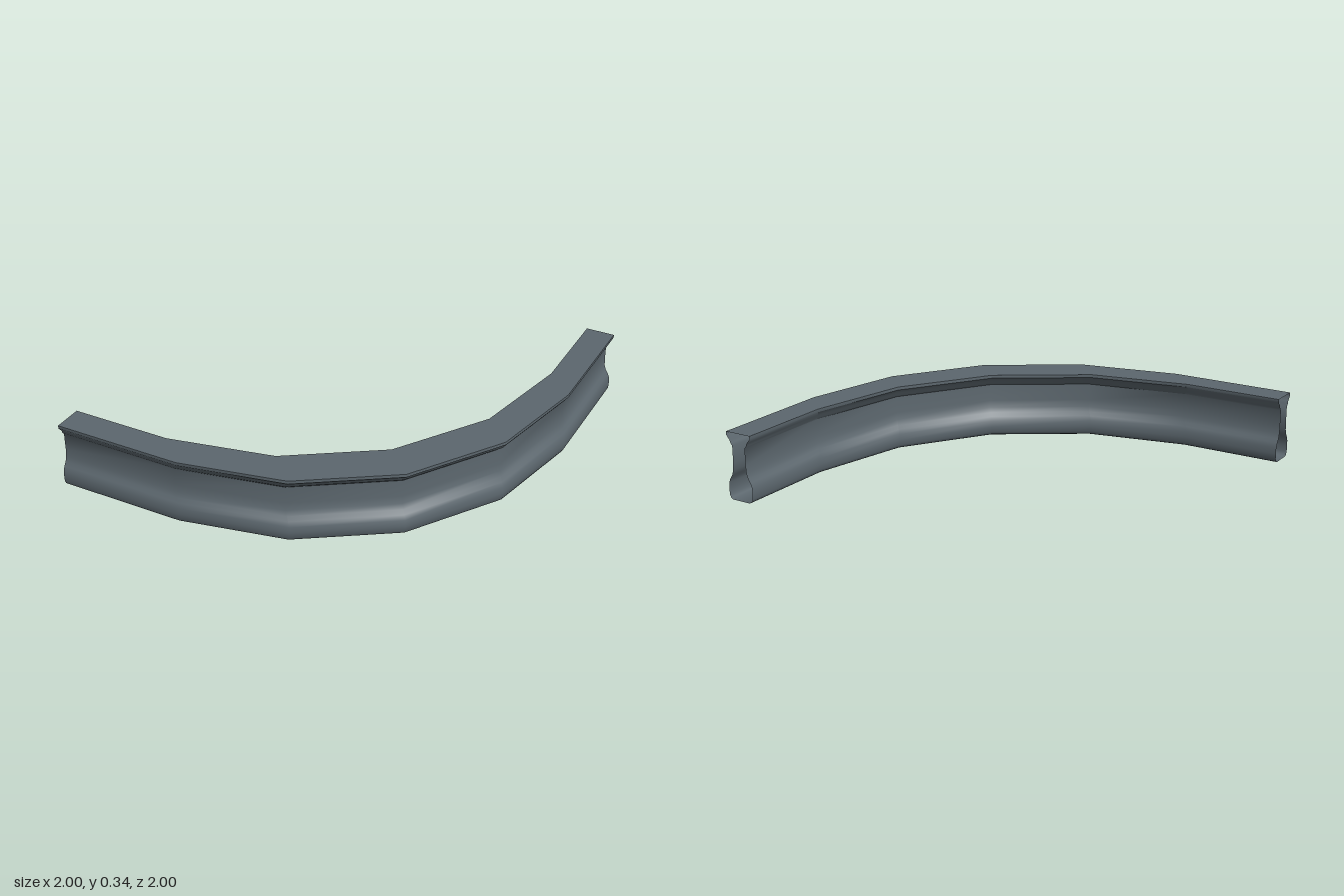
import * as THREE from 'three';
import { toCreasedNormals } from 'three/addons/utils/BufferGeometryUtils.js';

// Half cross-section from bottom to top: [half width, height]
const HALF = [
  [0.052, 0], [0.064, 0.007], [0.071, 0.022], [0.0725, 0.05], [0.071, 0.082],
  [0.062, 0.104], [0.05, 0.122], [0.041, 0.148], [0.038, 0.185], [0.038, 0.272],
  [0.048, 0.284], [0.052, 0.298], [0.0725, 0.322], [0.0725, 0.338],
];

// Stations along the bend: centre x, z and the direction of the section's width
const STATIONS = [
  [-1, 0.9275, 0, 1], [-0.425, 0.9275, 1, 1], [0.09, 0.82, 1, 1], [0.53, 0.53, 1, 1],
  [0.82, 0.09, 1, 1], [0.9275, -0.425, 1, 1], [0.9275, -1, 1, 0],
];

// Sweeps the closed section through the stations, leaving both ends open
function sweep(section, stations) {
  const positions = [];
  const index = [];
  const n = section.length;
  for (const [x, z, dx, dz] of stations) {
    for (const [s, y] of section) positions.push(x + s * dx, y, z + s * dz);
  }
  for (let i = 0; i < stations.length - 1; i++) {
    for (let j = 0; j < n; j++) {
      const k = (j + 1) % n;
      const a = i * n + j, b = i * n + k, c = b + n, d = a + n;
      index.push(a, d, c, a, c, b);
    }
  }
  const geometry = new THREE.BufferGeometry();
  geometry.setAttribute('position', new THREE.Float32BufferAttribute(positions, 3));
  geometry.setIndex(index);
  return toCreasedNormals(geometry, 0.75);
}

export function createModel() {
  const group = new THREE.Group();
  group.name = 'curvedRail';

  const steel = new THREE.MeshStandardMaterial({ color: 0x5c676e, side: THREE.DoubleSide });
  steel.name = 'grey steel';

  // Mirror the half section into a closed loop
  const section = [...HALF, ...HALF.map(([s, y]) => [-s, y]).reverse()];
  const rail = new THREE.Mesh(sweep(section, STATIONS), steel);
  rail.name = 'rail';
  group.add(rail);
  return group;
}
